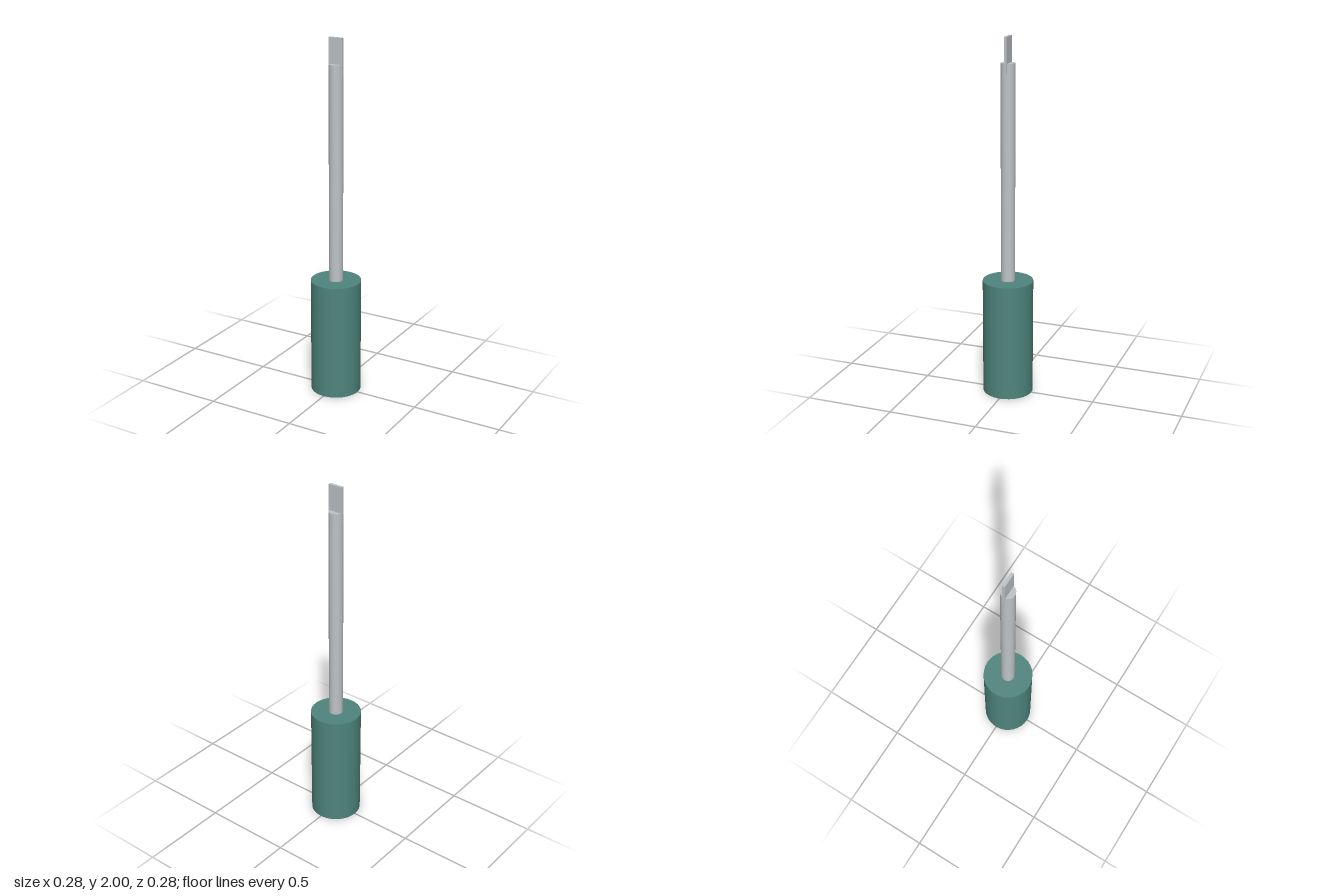
import * as THREE from 'three';

export function createModel() {
  const group = new THREE.Group();
  const handleGreen = new THREE.MeshStandardMaterial({ name: 'handleGreen', color: 0x4f857d });
  const steel = new THREE.MeshStandardMaterial({ name: 'steel', color: 0xbec3c7 });

  // Adds a part that spans the heights y0 to y1
  const add = (name, geometry, material, y0, y1) => {
    const mesh = new THREE.Mesh(geometry, material);
    mesh.name = name;
    mesh.position.y = (y0 + y1) / 2;
    group.add(mesh);
  };
  const rod = (name, radius, material, y0, y1) =>
    add(name, new THREE.CylinderGeometry(radius, radius, y1 - y0, 32), material, y0, y1);

  // Handle and shaft
  rod('handle', 0.14, handleGreen, 0, 0.657);
  rod('shaft', 0.039, steel, 0.64, 1.86);

  // Flat blade, set into the shaft and slightly wider than it
  add('blade', new THREE.BoxGeometry(0.081, 0.2, 0.016), steel, 1.8, 2);

  return group;
}
